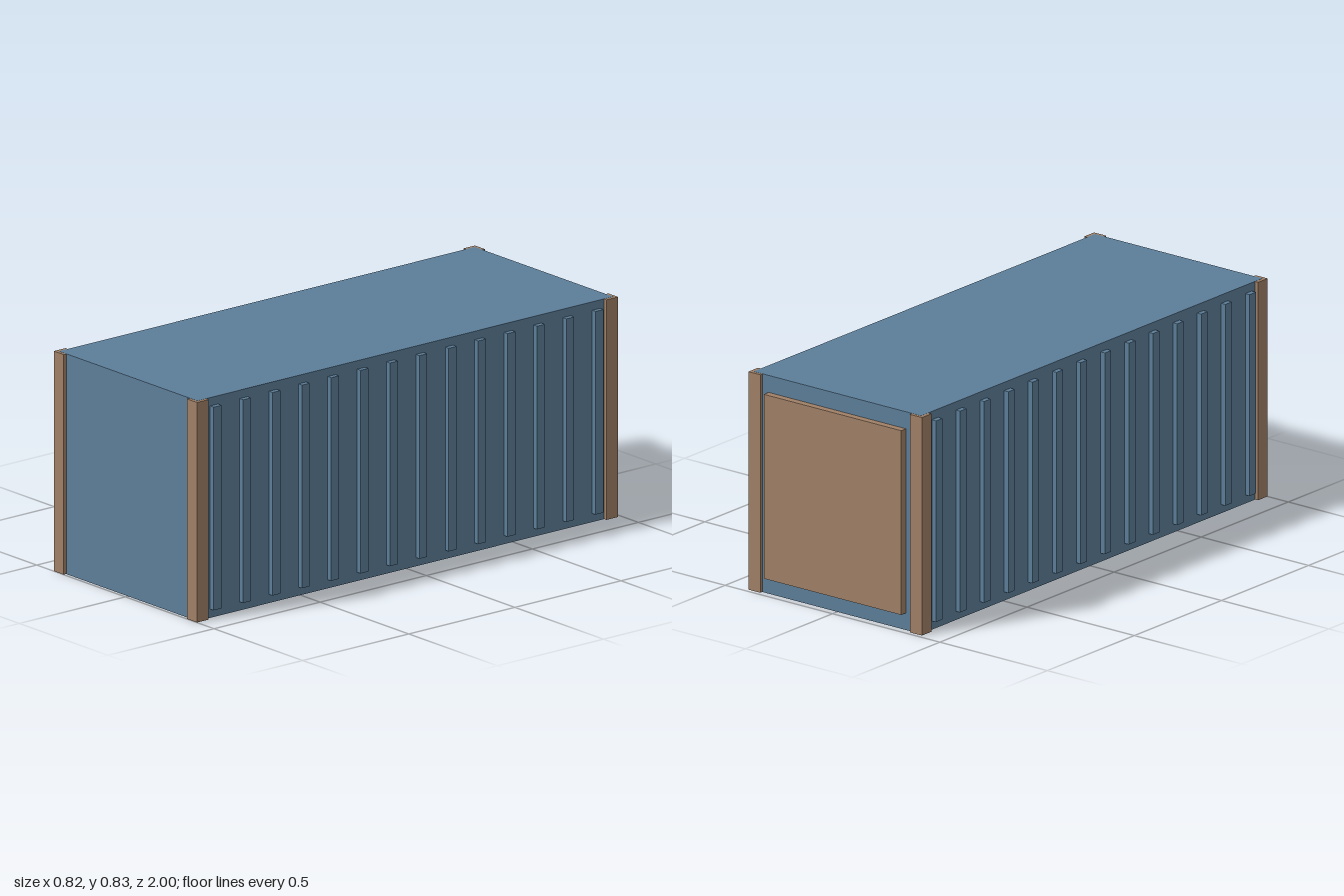
import * as THREE from 'three';

export function createModel() {
  const model = new THREE.Group();
  model.name = 'shippingContainer';

  const blue = new THREE.MeshStandardMaterial({ color: 0x5c7e99 });
  blue.name = 'steel blue';
  const brown = new THREE.MeshStandardMaterial({ color: 0xa08067 });
  brown.name = 'rust brown';

  // Box given by its minimum and maximum corners
  function addBox(name, material, min, max) {
    const size = max.map((v, i) => v - min[i]);
    const mesh = new THREE.Mesh(new THREE.BoxGeometry(...size), material);
    mesh.position.set(...max.map((v, i) => (v + min[i]) / 2));
    mesh.name = name;
    model.add(mesh);
  }

  const height = 0.835;
  const midZ = 0.0075;

  // Main body
  addBox('body', blue, [-0.39, 0, midZ - 0.98], [0.39, height, midZ + 0.98]);

  // Corner posts, a hair shorter so the roof and floor stay clean
  for (const sx of [-1, 1]) {
    for (const sz of [-1, 1]) {
      const x = sx * 0.376, z = midZ + sz * 0.965;
      addBox('cornerPost', brown,
        [x - 0.028, 0.0005, z - 0.0275], [x + 0.028, height - 0.0005, z + 0.0275]);
    }
  }

  // Vertical ribs along both long sides
  const ribCount = 14;
  for (const sx of [-1, 1]) {
    for (let i = 0; i < ribCount; i++) {
      const z = midZ + 0.9 - (i * 1.8) / (ribCount - 1);
      const x = sx * 0.399;
      addBox('sideRib', blue, [x - 0.0105, 0.033, z - 0.0185], [x + 0.0105, 0.803, z + 0.0185]);
    }
  }

  // Door panel on the back
  addBox('doorPanel', brown, [-0.32, 0.065, -1], [0.32, 0.77, -0.97]);

  return model;
}
